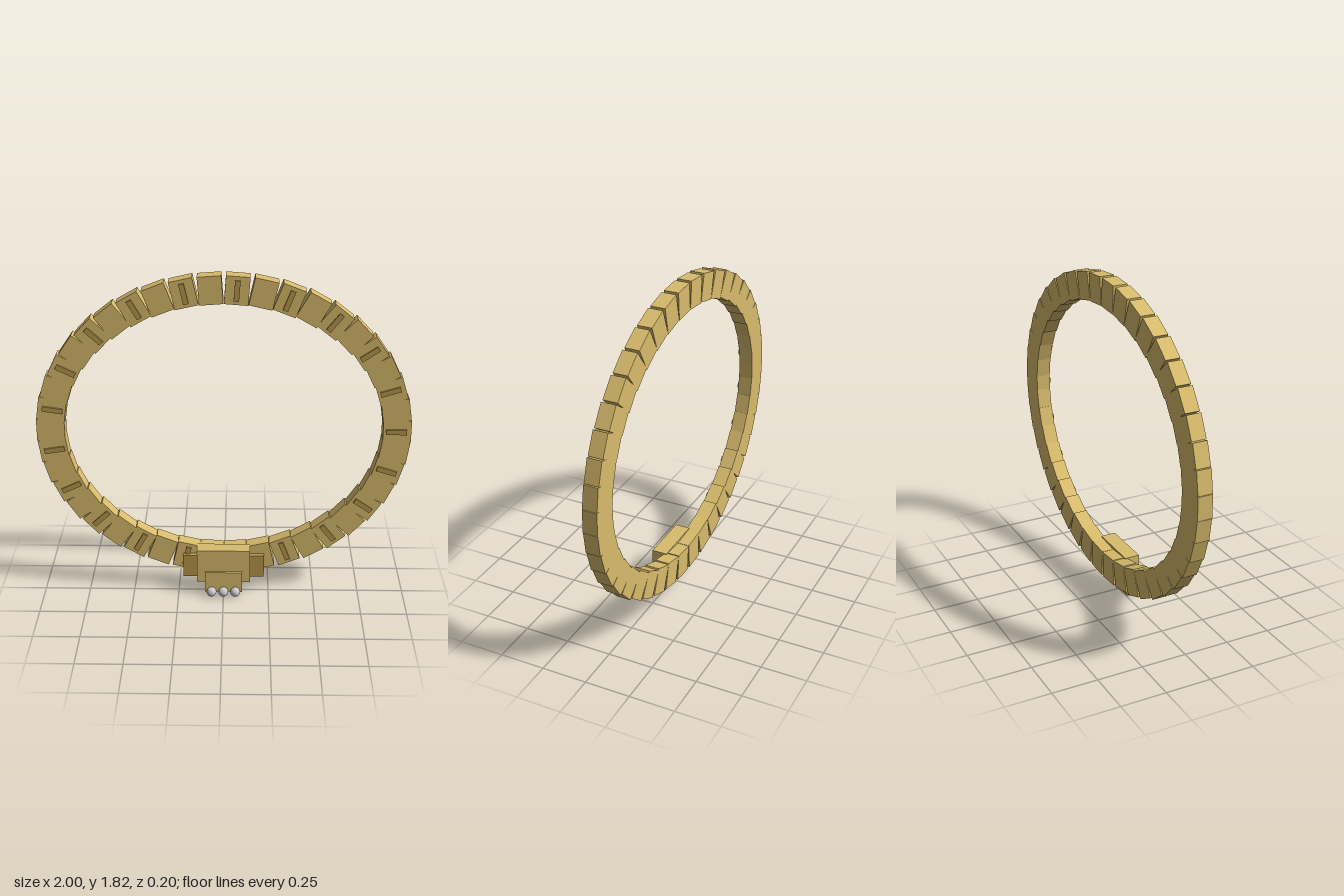
import * as THREE from 'three';

const gold = new THREE.MeshStandardMaterial({ color: 0xd9bc6c });
const darkGold = new THREE.MeshStandardMaterial({ color: 0xb8984c });
const silver = new THREE.MeshStandardMaterial({ color: 0xcccccc });

export function createModel() {
  const model = new THREE.Group();
  const add = (parent, name, geometry, material, x, y, z, turn = 0) => {
    const mesh = new THREE.Mesh(geometry, material);
    mesh.name = name;
    mesh.position.set(x, y, z);
    mesh.rotation.z = turn;
    parent.add(mesh);
  };
  // Box given by its lower and upper limits on each axis
  const addBox = (parent, name, material, [x0, x1], [y0, y1], [z0, z1]) =>
    add(parent, name, new THREE.BoxGeometry(x1 - x0, y1 - y0, z1 - z0), material,
      (x0 + x1) / 2, (y0 + y1) / 2, (z0 + z1) / 2);

  // Oval band: overlapping links, every second one with a raised bar
  const band = new THREE.Group();
  band.name = 'band';
  model.add(band);
  const links = 42, radiusX = 0.925, radiusY = 0.778, centreY = 0.966;
  const linkShape = new THREE.BoxGeometry(0.15, 0.125, 0.08);
  const barShape = new THREE.BoxGeometry(0.11, 0.028, 0.02);
  for (let i = 0; i < links; i++) {
    const a = (i / links) * Math.PI * 2;
    const x = Math.cos(a) * radiusX, y = centreY + Math.sin(a) * radiusY;
    add(band, 'link', linkShape, gold, x, y, -0.06, a);
    if (i % 2 === 0) add(band, 'linkBar', barShape, darkGold, x - 0.005 * Math.cos(a), y, -0.02, a);
  }

  // Clasp: side tabs, main block and lower tongue
  const clasp = new THREE.Group();
  clasp.name = 'clasp';
  model.add(clasp);
  addBox(clasp, 'claspTabLeft', darkGold, [0.12, 0.225], [0.09, 0.222], [-0.063, 0.005]);
  addBox(clasp, 'claspTabRight', darkGold, [-0.225, -0.12], [0.09, 0.222], [-0.063, 0.005]);
  addBox(clasp, 'claspBlock', gold, [-0.147, 0.147], [0.08, 0.275], [-0.034, 0.05]);
  addBox(clasp, 'claspTongue', gold, [-0.103, 0.103], [0.025, 0.146], [0.01, 0.063]);

  // Row of beads on the tongue
  const beadShape = new THREE.SphereGeometry(0.027, 24, 16);
  for (const x of [-0.066, 0, 0.066]) add(clasp, 'bead', beadShape, silver, x, 0.03, 0.073);

  return model;
}
